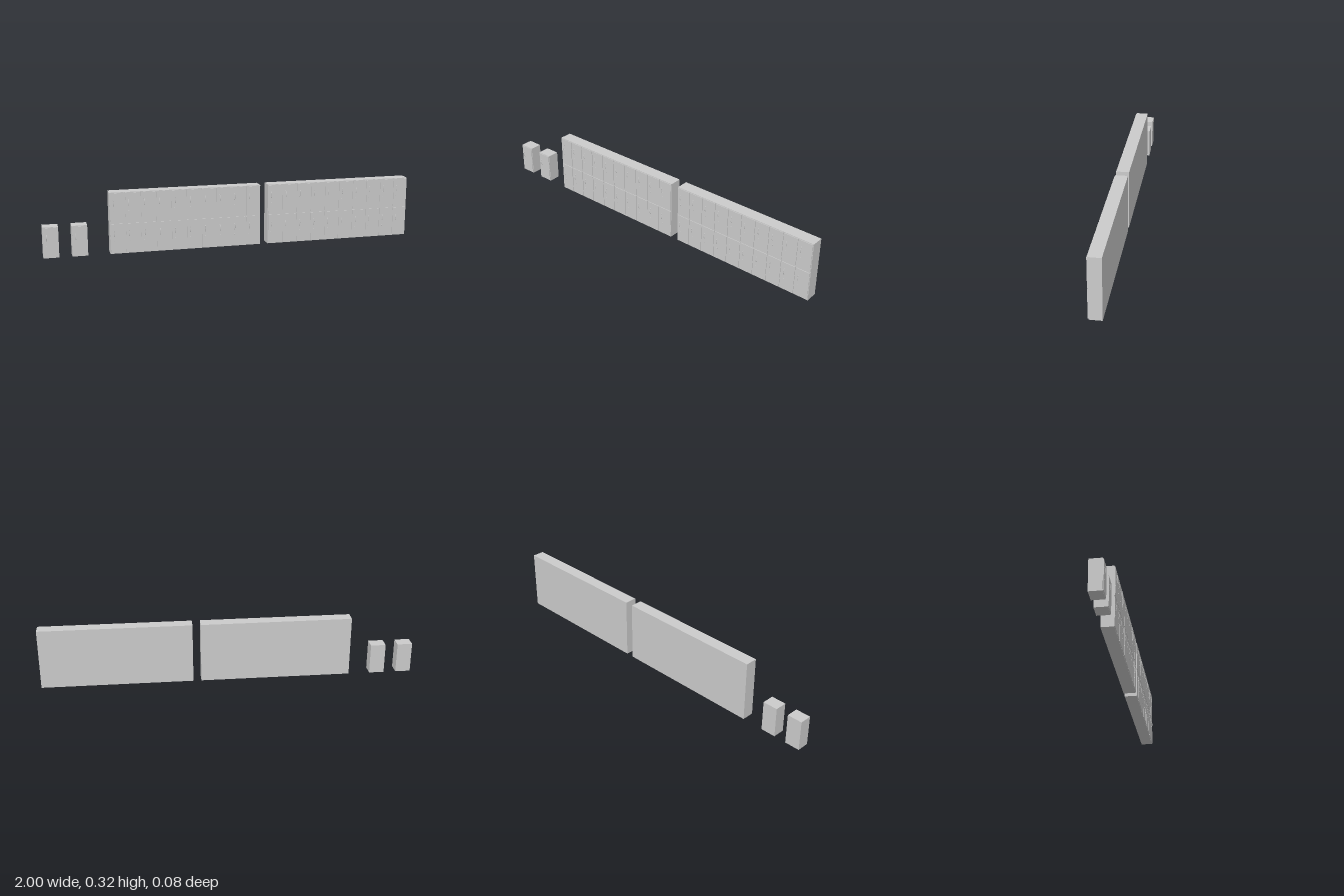
import * as THREE from 'three';

const CELL_W = 0.0807, CELL_H = 0.1625;
const BACK = -0.038, FACE = 0.027, DOOR = 0.0305;

const material = new THREE.MeshStandardMaterial({ color: 0xcccccc });

// Geometries shared by every locker
const doorGeo = new THREE.BoxGeometry(CELL_W - 0.006, CELL_H - 0.007, DOOR - FACE);
const handleGeo = new THREE.TubeGeometry(
  new THREE.CatmullRomCurve3([
    [-0.017, -0.001], [-0.012, 0.0035], [0, 0.0063], [0.012, 0.0035], [0.017, -0.001],
  ].map(([y, z]) => new THREE.Vector3(0, y, z))), 14, 0.0013, 6);
const mountGeo = new THREE.CylinderGeometry(0.0025, 0.0025, 0.001, 10).rotateX(Math.PI / 2);
const lockGeo = new THREE.CylinderGeometry(0.0036, 0.0036, 0.002, 14).rotateX(Math.PI / 2);

function addPart(parent, name, geometry, x, y, z) {
  const mesh = new THREE.Mesh(geometry, material);
  mesh.name = name;
  mesh.position.set(x, y, z);
  parent.add(mesh);
}

// One door with its bowed handle and round lock; origin at the cell's lower left
function makeDoor() {
  const door = new THREE.Group();
  door.name = 'lockerDoor';
  const hx = 0.02, hy = 0.107;
  addPart(door, 'doorPanel', doorGeo, CELL_W / 2, CELL_H / 2, (FACE + DOOR) / 2);
  addPart(door, 'handle', handleGeo, hx, hy, DOOR);
  for (const s of [-1, 1]) addPart(door, 'handleMount', mountGeo, hx, hy + s * 0.016, DOOR + 0.0003);
  addPart(door, 'lock', lockGeo, hx, 0.063, DOOR + 0.0008);
  return door;
}

// A cabinet of columns x rows lockers, starting at x
function makeBank(name, x, columns, rows) {
  const bank = new THREE.Group();
  bank.name = name;
  bank.position.x = x;
  const w = columns * CELL_W, h = rows * CELL_H;
  addPart(bank, 'cabinet', new THREE.BoxGeometry(w, h, FACE - BACK), w / 2, h / 2, (FACE + BACK) / 2);
  for (let c = 0; c < columns; c++) {
    for (let r = 0; r < rows; r++) {
      const door = makeDoor();
      door.position.set(c * CELL_W, r * CELL_H, 0);
      bank.add(door);
    }
  }
  return bank;
}

export function createModel() {
  const model = new THREE.Group();
  model.name = 'lockers';
  model.add(
    makeBank('singleLockerOuter', -1, 1, 1),
    makeBank('singleLockerInner', -0.853, 1, 1),
    makeBank('lockerBankRight', -0.657, 10, 2),
    makeBank('lockerBankLeft', 0.193, 10, 2),
  );
  return model;
}
